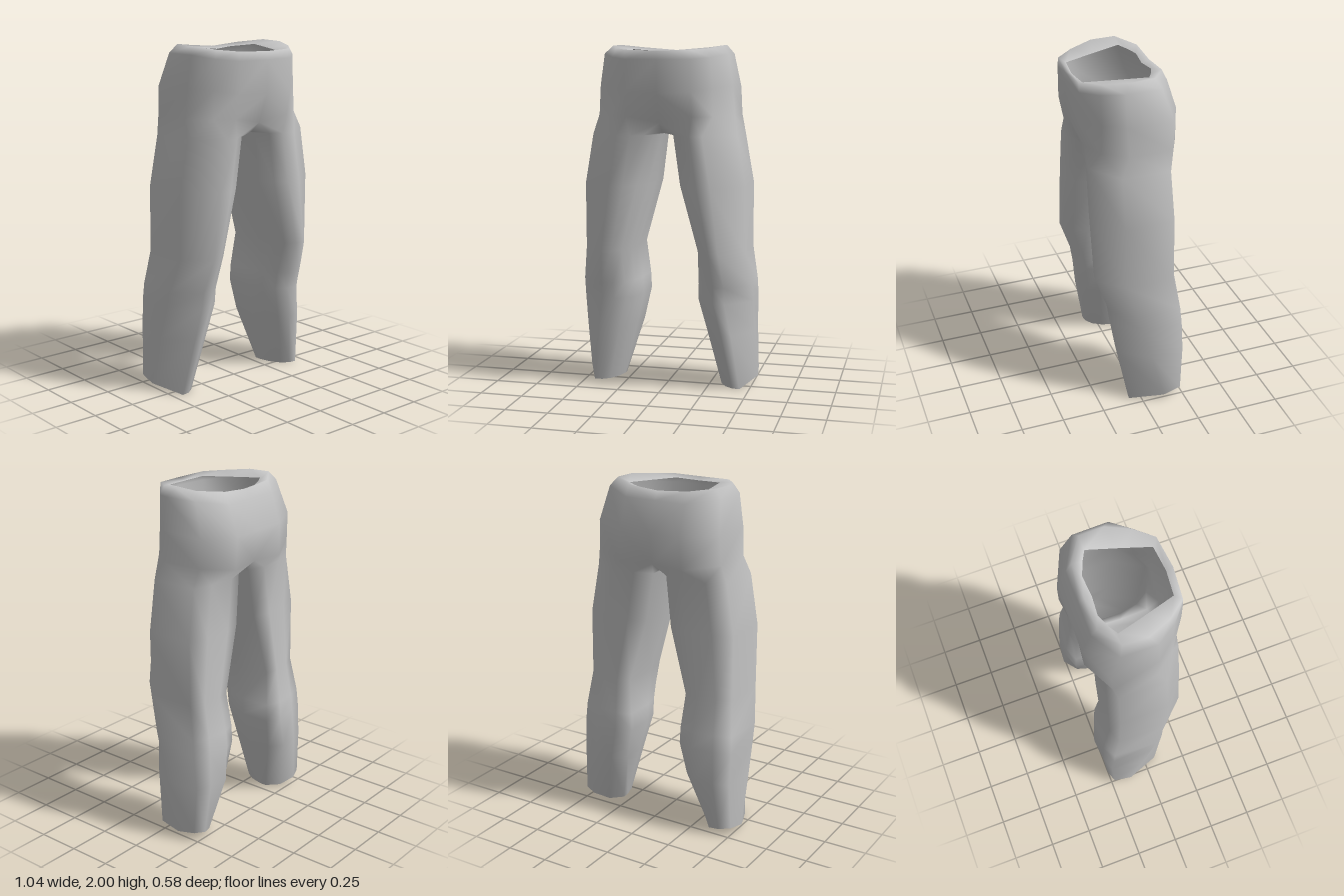
import * as THREE from 'three';
import { mergeVertices } from 'three/addons/utils/BufferGeometryUtils.js';

// Half rings of the hips, front centre -> side -> back centre, as [x, y, z]
const waistOpening = [
  [0, 1.95, 0.25], [0.145, 1.955, 0.235], [0.195, 1.965, 0.07], [0.245, 1.975, -0.105],
  [0.19, 1.97, -0.135], [0.115, 1.965, -0.165], [0, 1.955, -0.155],
];
const waistRim = [
  [0, 1.967, 0.288], [0.185, 1.972, 0.268], [0.265, 1.98, 0.17], [0.325, 1.995, 0.03],
  [0.32, 2, -0.11], [0.19, 1.985, -0.198], [0, 1.97, -0.198],
];
const waistband = [
  [0, 1.92, 0.29], [0.19, 1.92, 0.27], [0.285, 1.93, 0.185], [0.364, 1.95, 0.07],
  [0.36, 1.95, -0.135], [0.19, 1.92, -0.23], [0, 1.92, -0.228],
];
const hips = [
  [0, 1.73, 0.288], [0.19, 1.74, 0.27], [0.295, 1.76, 0.18], [0.39, 1.77, 0.07],
  [0.39, 1.76, -0.2], [0.19, 1.75, -0.287], [0, 1.75, -0.285],
];
const seat = [
  [0, 1.565, 0.222], [0.19, 1.6, 0.243], [0.3, 1.6, 0.185], [0.402, 1.6, 0.06],
  [0.4, 1.6, -0.19], [0.2, 1.565, -0.283], [0, 1.57, -0.26],
];
const crotch = [[0, 1.52, -0.18], [0, 1.495, 0], [0, 1.505, 0.155]];

// Leg sections: y, inner x, outer x, back z, front z, outward twist,
// fullness of the outer front, fullness of the inner back
const legSections = [
  [1.49, 0.035, 0.425, -0.215, 0.242, 0, 0.42, 0.85],
  [1.2, 0.075, 0.475, -0.225, 0.243, 0, 0.42, 0.88],
  [0.82, 0.185, 0.475, -0.23, 0.24, 0, 0.42, 0.92],
  [0.62, 0.172, 0.505, -0.265, 0.17, 0.01, 0.4, 0.85],
  [0.52, 0.168, 0.51, -0.274, 0.155, 0.01, 0.33, 0.83],
  [0.33, 0.215, 0.515, -0.285, 0.13, 0.02, 0.17, 0.7],
  [0, 0.3, 0.525, -0.265, 0.07, 0.02, -0.15, 0.25],
];

// Leg outline, starting inner front and running over the outside to the inside
function legRing([y, xIn, xOut, zBack, zFront, twist, outerFront, innerBack], scale = 1) {
  const outline = [
    [-0.65, 0.78], [-0.3, 0.96], [0.1, 1], [1, outerFront], [1, -0.8],
    [0.4, -0.94], [-0.4, -Math.min(1, innerBack + 0.45)], [-0.96, -innerBack], [-1, 0], [-0.9, 0.45],
  ];
  const cx = (xIn + xOut) / 2, cz = (zBack + zFront) / 2;
  const hx = (xOut - xIn) / 2, hz = (zFront - zBack) / 2;
  return outline.map(([dx, dz]) => {
    // The hem rises a little towards the outer back
    const lift = y === 0 ? 0.03 * Math.max(0, dx - dz) : 0;
    return [cx + (dx * hx + dz * twist) * scale, y + lift, cz + dz * hz * scale];
  });
}

// Skin between successive rings, on both sides of the body
function loft(out, rings, closed) {
  for (let r = 0; r + 1 < rings.length; r++) {
    const a = rings[r], b = rings[r + 1], n = a.length;
    for (let j = 0; j < (closed ? n : n - 1); j++) {
      const k = (j + 1) % n;
      const tris = [a[j], b[j], b[k], a[j], b[k], a[k]];
      for (const p of tris) out.push(...p);
      for (const [x, y, z] of [...tris].reverse()) out.push(-x, y, z);
    }
  }
}

export function createModel() {
  const cloth = new THREE.MeshStandardMaterial({ color: 0xc2c2c2, side: THREE.DoubleSide });
  cloth.name = 'grey cloth';

  const positions = [];
  // Waist and hips
  loft(positions, [waistOpening, waistRim, waistband, hips, seat], false);
  // Legs, ending in a hem turned inwards
  const last = legSections[legSections.length - 1];
  const hem = legRing(last, 0.78).map(([x, y, z]) => [x, y + 0.01, z]);
  loft(positions, [[...seat, ...crotch], ...legSections.map((s) => legRing(s)), hem], true);

  let geometry = new THREE.BufferGeometry();
  geometry.setAttribute('position', new THREE.Float32BufferAttribute(positions, 3));
  geometry = mergeVertices(geometry, 1e-4);
  geometry.computeVertexNormals();

  const trousers = new THREE.Mesh(geometry, cloth);
  trousers.name = 'trousers';
  const group = new THREE.Group();
  group.name = 'trousersModel';
  group.add(trousers);
  return group;
}
